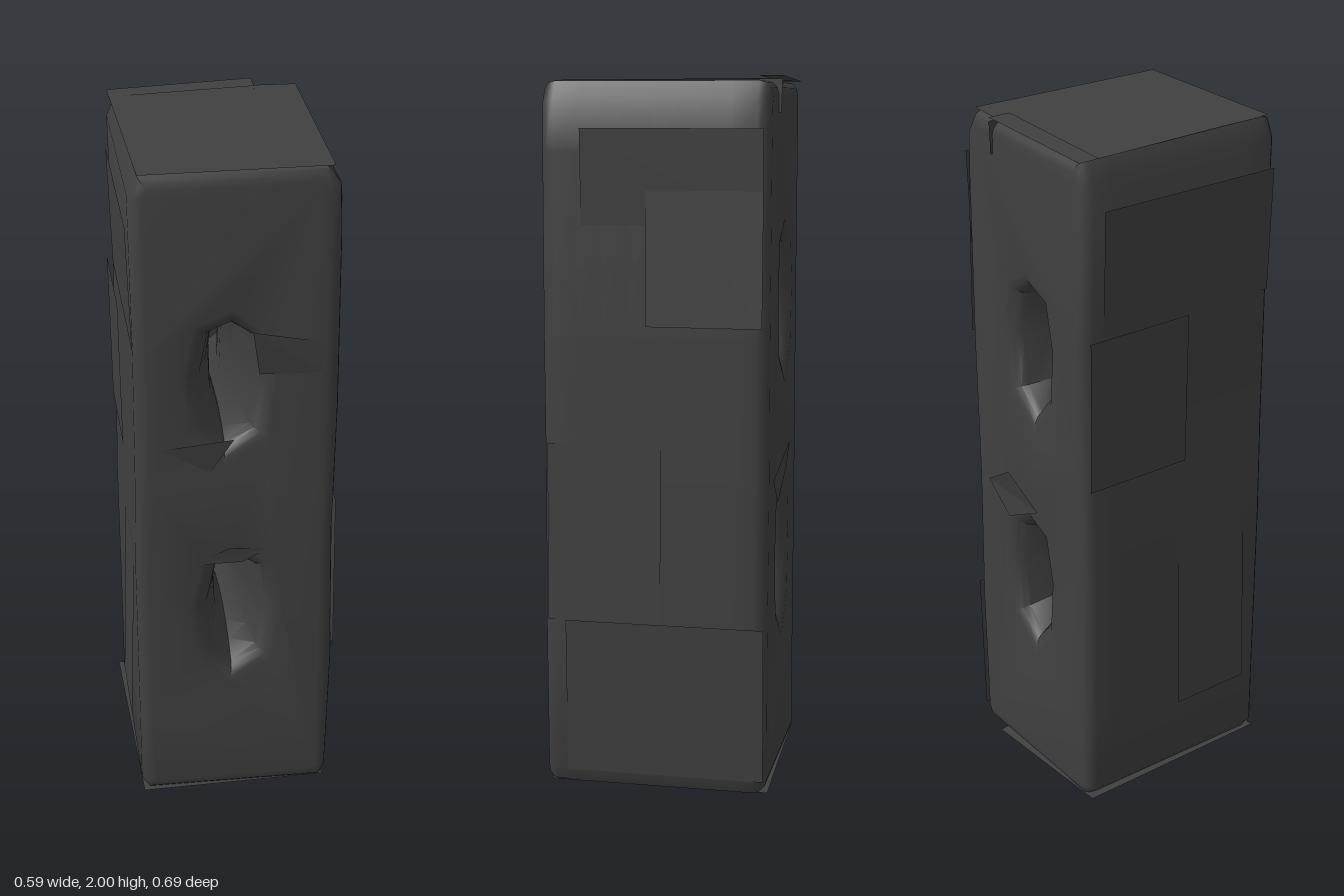
import * as THREE from 'three';
import { toCreasedNormals } from 'three/addons/utils/BufferGeometryUtils.js';

// Slots through the block: wide at the faces, narrow in the middle
const SLOTS = [
  { x: -0.02, y: 1.38, halfW: 0.09, halfH: 0.19, narrowX: 0.22, narrowY: 0.8 },
  { x: 0.0, y: 0.65, halfW: 0.09, halfH: 0.2, narrowX: 0.33, narrowY: 0.62 },
];
const HALF_DEPTH = 0.315;

function slotPath(s) {
  const pts = [[0.1, 1], [-0.7, 0.85], [-1, 0.2], [-0.85, -0.6], [-0.1, -1], [0.8, -0.7], [1, 0.1], [0.8, 0.8]];
  return new THREE.Path(pts.map(([u, v]) => new THREE.Vector2(s.x + u * s.halfW, s.y + v * s.halfH)));
}

function bodyGeometry() {
  const outline = [
    [-0.255, 0.03], [0.26, 0.02], [0.278, 0.06], [0.285, 0.45], [0.275, 0.9], [0.28, 1.3],
    [0.275, 1.8], [0.27, 1.93], [0.235, 1.985], [-0.25, 1.985], [-0.275, 1.93], [-0.27, 1.5],
    [-0.272, 1.1], [-0.277, 0.8], [-0.275, 0.3], [-0.275, 0.06],
  ];
  const shape = new THREE.Shape(outline.map(([x, y]) => new THREE.Vector2(x, y)));
  shape.holes = SLOTS.map(slotPath);
  const bevel = 0.035;
  const depth = 2 * (HALF_DEPTH - bevel);
  const geo = new THREE.ExtrudeGeometry(shape, {
    depth, steps: 8, bevelEnabled: true, bevelSize: bevel, bevelThickness: bevel,
    bevelOffset: -bevel, bevelSegments: 3,
  });
  geo.translate(0, 0, -depth / 2);
  // Pinch the slot walls towards the middle of the block
  const p = geo.attributes.position;
  for (let i = 0; i < p.count; i++) {
    const t = Math.min(1, Math.abs(p.getZ(i)) / HALF_DEPTH);
    for (const s of SLOTS) {
      const dx = p.getX(i) - s.x, dy = p.getY(i) - s.y;
      if (Math.abs(dx) > 0.16 || Math.abs(dy) > s.halfH + 0.06) continue;
      p.setX(i, s.x + dx * THREE.MathUtils.lerp(s.narrowX, 1, t * t));
      p.setY(i, s.y + dy * THREE.MathUtils.lerp(s.narrowY, 1, t * t));
    }
  }
  geo.clearGroups();
  return toCreasedNormals(geo, 0.7);
}

// Loose four-cornered sheet
function sheetGeometry(corners) {
  const geo = new THREE.BufferGeometry();
  const [a, b, c, d] = corners;
  geo.setAttribute('position', new THREE.Float32BufferAttribute([a, b, c, a, c, d].flat(2), 3));
  geo.computeVertexNormals();
  return geo;
}

export function createModel() {
  const group = new THREE.Group();
  const charcoal = new THREE.MeshStandardMaterial({ color: 0x404040, side: THREE.DoubleSide });
  charcoal.name = 'charcoal';
  const add = (name, geo) => {
    const mesh = new THREE.Mesh(geo, charcoal);
    mesh.name = name;
    group.add(mesh);
  };

  add('slottedBlock', bodyGeometry());

  // Slightly tilted sheets closing the ends
  add('topSheet', sheetGeometry([[-0.25, 1.987, 0.3], [0.25, 1.987, 0.3], [0.25, 1.99, -0.29], [-0.27, 1.987, -0.32]]));
  add('topRearFlap', sheetGeometry([[-0.27, 1.988, -0.26], [0.13, 2, -0.26], [0.13, 2, -0.325], [-0.27, 1.988, -0.32]]));
  add('bottomSheet', sheetGeometry([[-0.29, 0.045, -0.31], [0.2, 0, -0.31], [0.27, 0.025, 0.3], [-0.27, 0.03, 0.31]]));

  // Overlapping sheets on the left and right sides: [side, y0, y1, z0, z1, x at y0, x at y1]
  const sideSheets = [
    [1, 0.06, 0.5, -0.31, 0.25, 0.28, 0.292],
    [1, 0.5, 1.0, -0.02, 0.3, 0.287, 0.28],
    [1, 1.33, 1.78, -0.3, 0.02, 0.293, 0.28],
    [1, 1.6, 1.86, -0.3, 0.2, 0.278, 0.29],
    [-1, 0.26, 0.84, 0.0, 0.24, 0.295, 0.277],
    [-1, 1.06, 1.5, -0.3, 0.02, 0.28, 0.285],
    [-1, 1.5, 1.85, -0.25, 0.3, 0.272, 0.283],
  ];
  for (const [s, y0, y1, z0, z1, x0, x1] of sideSheets) {
    add('sideSheet', sheetGeometry([[s * x0, y0, z0], [s * x0, y0, z1], [s * x1, y1, z1], [s * x1, y1, z0]]));
  }

  // Lifted flaps beside the slots, front and back
  add('frontUpperFlap', sheetGeometry([[-0.24, 1.2, 0.31], [-0.01, 1.24, 0.342], [-0.07, 1.13, 0.316], [-0.24, 1.1, 0.312]]));
  add('frontSlotFlap', sheetGeometry([[0.04, 1.55, 0.332], [0.24, 1.5, 0.314], [0.24, 1.41, 0.314], [0.06, 1.42, 0.318]]));
  add('frontLowerFlap', sheetGeometry([[-0.12, 0.83, 0.316], [-0.02, 0.88, 0.32], [0.09, 0.87, 0.318], [0.02, 0.83, 0.316]]));
  add('backMiddleFlap', sheetGeometry([[-0.05, 0.9, -0.32], [0.06, 0.99, -0.343], [0.2, 0.9, -0.32], [0.1, 0.82, -0.318]]));
  add('backTopFlap', sheetGeometry([[0.13, 1.99, -0.26], [0.13, 1.99, -0.325], [0.13, 1.9, -0.322], [0.13, 1.9, -0.26]]));
  return group;
}
